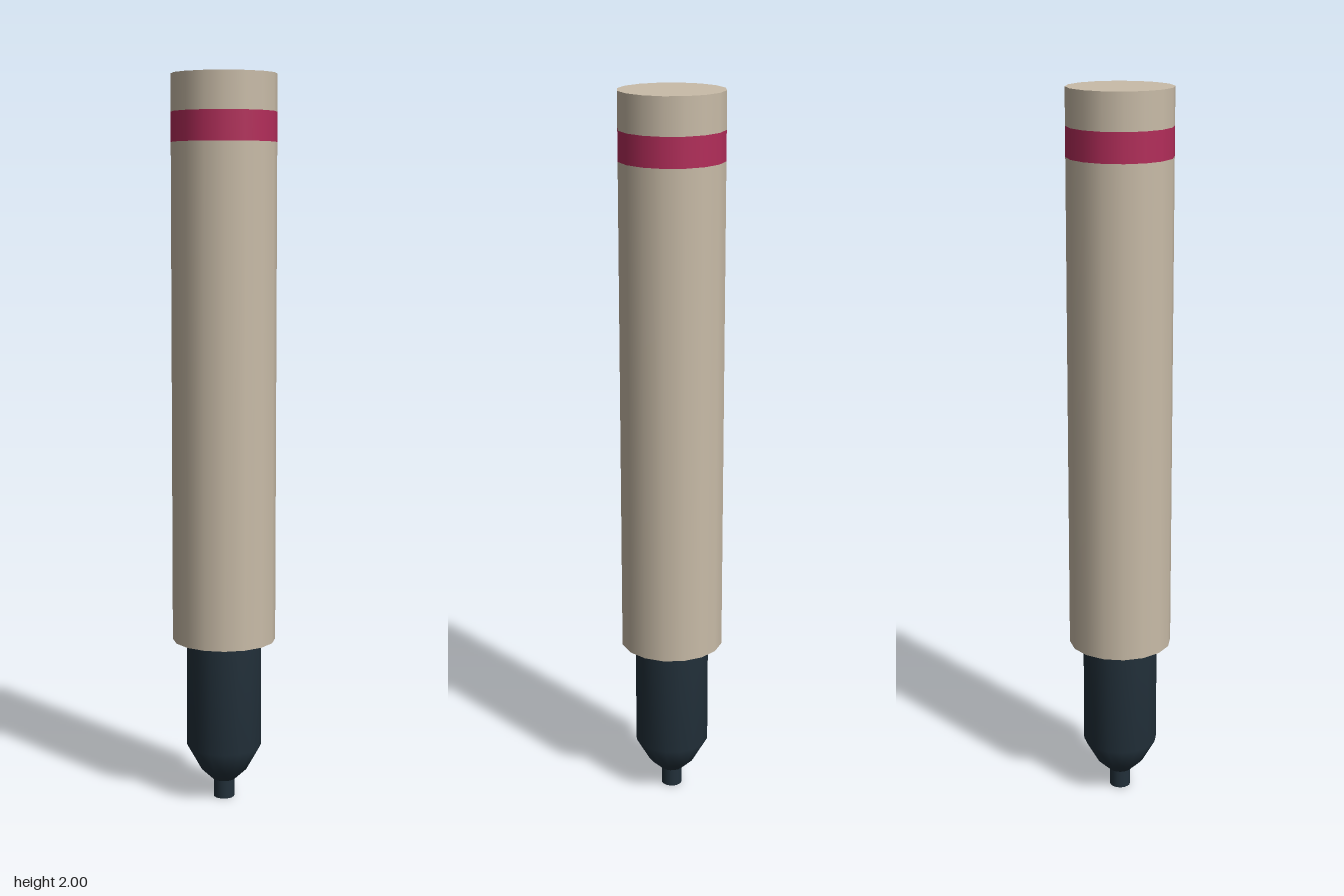
import * as THREE from 'three';

const SIDES = 16;
const HALF_STEP = Math.PI / SIDES; // turns a flat side to face the front

const makeMaterial = (name, color) => {
  const material = new THREE.MeshStandardMaterial({ color });
  material.name = name;
  return material;
};

export function createModel() {
  const pen = new THREE.Group();
  pen.name = 'pen';

  const beige = makeMaterial('beige', 0xc9bca8);
  const crimson = makeMaterial('crimson', 0xb32d5a);
  const darkSlate = makeMaterial('dark slate', 0x22303a);

  const add = (name, geometry, material, y = 0) => {
    const mesh = new THREE.Mesh(geometry, material);
    mesh.name = name;
    mesh.position.y = y;
    pen.add(mesh);
  };

  // Smooth sixteen-sided tube section between two heights
  const section = (name, radius, bottom, top, material, open = false) =>
    add(name, new THREE.CylinderGeometry(radius, radius, top - bottom, SIDES, 1, open, HALF_STEP),
      material, (bottom + top) / 2);

  // Barrel, coloured band and end cap
  section('barrel', 0.1427, 0.455, 1.82, beige);
  section('band', 0.1427, 1.82, 1.9, crimson, true);
  section('endCap', 0.1427, 1.9, 2, beige);

  // Grip with a rounded nose
  const profile = [
    [0, 0.05], [0.032, 0.052], [0.067, 0.085], [0.104, 0.15], [0.104, 0.46],
  ].map(([r, y]) => new THREE.Vector2(r, y));
  add('grip', new THREE.LatheGeometry(profile, SIDES, HALF_STEP), darkSlate);

  // Writing tip
  section('tip', 0.029, 0, 0.06, darkSlate);

  return pen;
}
